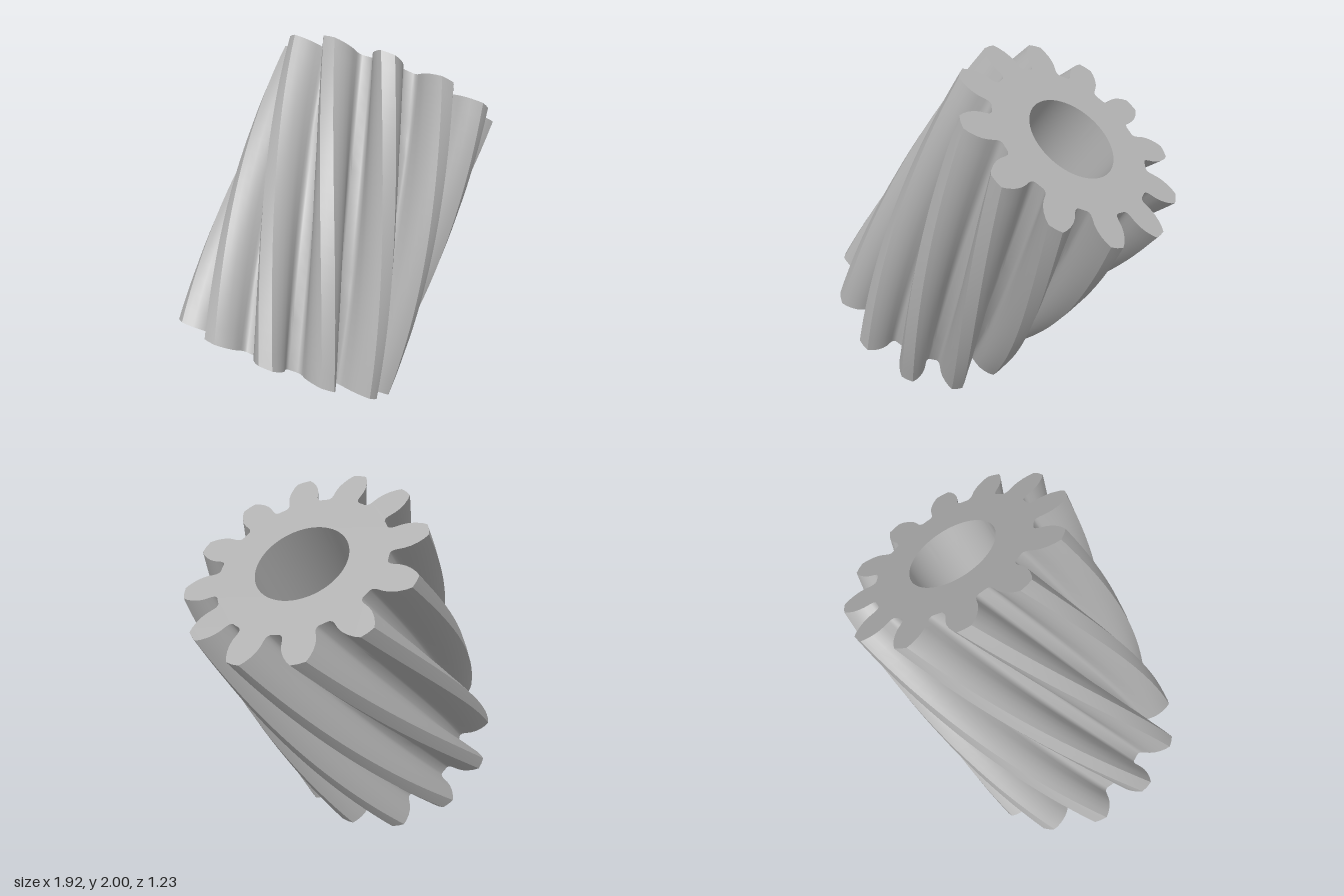
import * as THREE from 'three';
import { toCreasedNormals } from 'three/addons/utils/BufferGeometryUtils.js';

const TEETH = 12;
const LENGTH = 1.58;
const TWIST = Math.PI / 3;
const PHASE = THREE.MathUtils.degToRad(1.5);
const TILT = -0.6206;

// Half tooth, root to tip: [radius, degrees from the tooth centre]
const FLANK = [
  [0.435, 12], [0.44, 10.8], [0.45, 9.9], [0.465, 9.5], [0.5, 9.2],
  [0.53, 8.4], [0.56, 7], [0.59, 5.1], [0.611, 3.3],
];

// Toothed outline with a round bore
function gearShape() {
  const tooth = [
    ...FLANK.map(([r, a]) => [r, -a]),
    [0.613, 0],
    ...FLANK.slice().reverse(),
  ];
  const points = [];
  for (let i = 0; i < TEETH; i++) {
    for (const [r, a] of tooth) {
      const angle = (i / TEETH) * Math.PI * 2 + THREE.MathUtils.degToRad(a);
      points.push(new THREE.Vector2(r * Math.cos(angle), r * Math.sin(angle)));
    }
  }
  const shape = new THREE.Shape(points);
  const bore = new THREE.Path();
  bore.absarc(0, 0, 0.237, 0, Math.PI * 2, true);
  shape.holes.push(bore);
  return shape;
}

// Extrude along the axle, then turn each layer to form the helix
function helicalGear() {
  const geometry = new THREE.ExtrudeGeometry(gearShape(), {
    depth: LENGTH, steps: 20, bevelEnabled: false, curveSegments: 48,
  });
  geometry.rotateX(-Math.PI / 2);
  const position = geometry.attributes.position;
  const p = new THREE.Vector3();
  const axis = new THREE.Vector3(0, 1, 0);
  for (let i = 0; i < position.count; i++) {
    p.fromBufferAttribute(position, i);
    p.applyAxisAngle(axis, -(PHASE + (TWIST * p.y) / LENGTH));
    position.setXYZ(i, p.x, p.y - LENGTH / 2, p.z);
  }
  return toCreasedNormals(geometry, 0.62);
}

export function createModel() {
  const steel = new THREE.MeshStandardMaterial({ color: 0xb0b0b0 });
  steel.name = 'steel grey';

  const gear = new THREE.Mesh(helicalGear(), steel);
  gear.name = 'helicalGear';
  gear.rotation.z = TILT;
  gear.position.y = 1;

  const model = new THREE.Group();
  model.name = 'tiltedHelicalGear';
  model.add(gear);
  return model;
}
